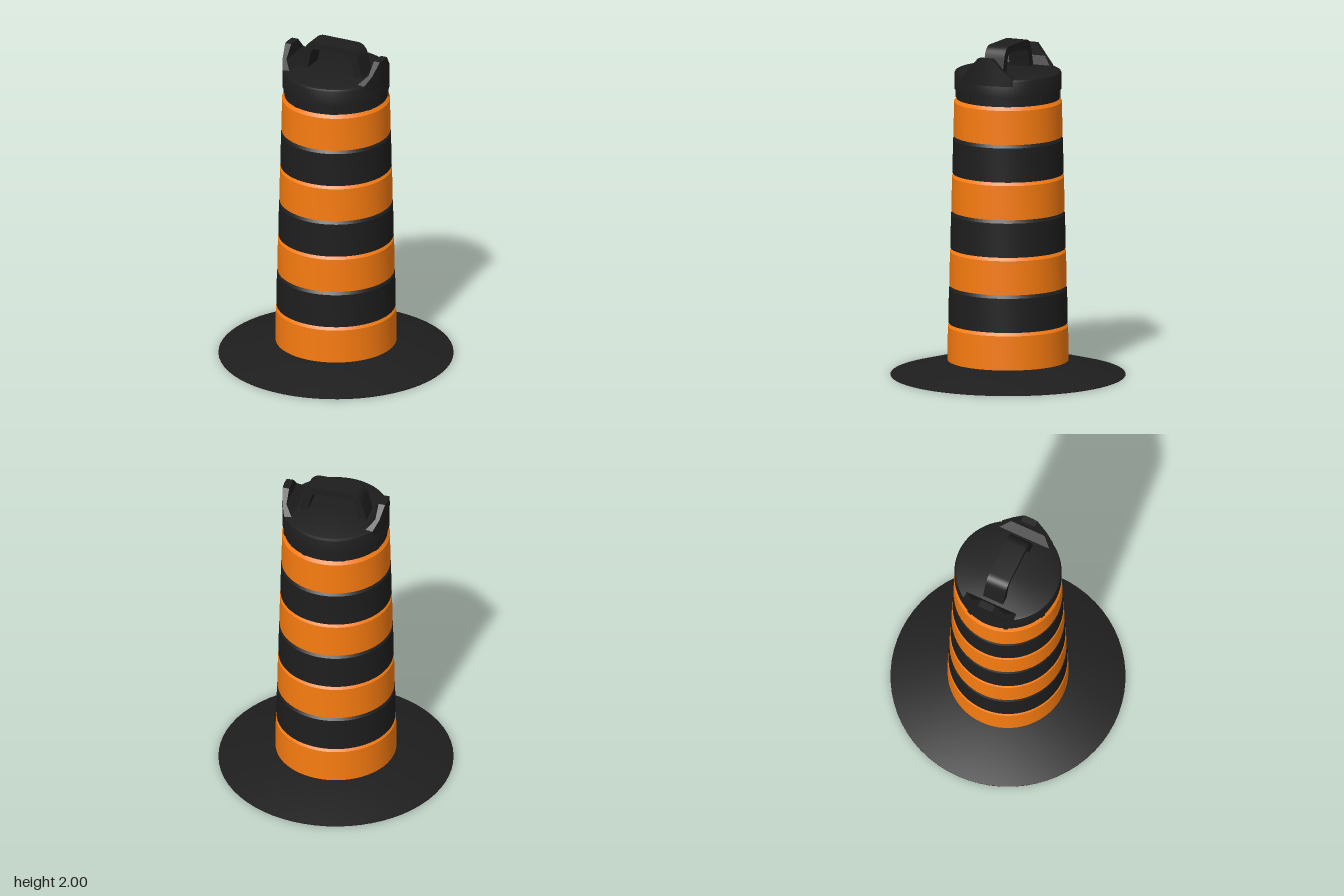
import * as THREE from 'three';
import { toCreasedNormals } from 'three/addons/utils/BufferGeometryUtils.js';

const orange = new THREE.MeshStandardMaterial({ color: 0xf97c10 });
const black = new THREE.MeshStandardMaterial({ color: 0x1e1e1e });

function add(parent, name, geometry, material) {
  const mesh = new THREE.Mesh(toCreasedNormals(geometry, 0.5), material);
  mesh.name = name;
  parent.add(mesh);
  return mesh;
}

// Profile is listed from the bottom centre outwards and up
function turned(points) {
  return new THREE.LatheGeometry(points.map(([r, y]) => new THREE.Vector2(r, y)), 64);
}

// Upright ear: outside follows the lid, inside slopes, sides taper to the top
function earGeometry() {
  const R = 0.318, arc = 10;
  const rows = [[1.79, 0.225, 0.165], [1.83, 0.225, 0.165], [1.88, 0.273, 0.11], [1.95, 0.275, 0.045]];
  const n = arc + 3, pos = [], index = [];
  for (const [y, inner, w] of rows) {
    for (let k = 0; k <= arc; k++) {
      const z = -w + (2 * w * k) / arc;
      pos.push(Math.sqrt(R * R - z * z), y, z);
    }
    pos.push(inner, y, w, inner, y, -w);
  }
  for (let j = 0; j < rows.length - 1; j++) {
    for (let k = 0; k < n; k++) {
      const a = j * n + k, b = j * n + ((k + 1) % n);
      index.push(a, a + n, b, b, a + n, b + n);
    }
  }
  const top = (rows.length - 1) * n;
  for (let k = 1; k < n - 1; k++) index.push(top, top + k + 1, top + k);
  const g = new THREE.BufferGeometry();
  g.setAttribute('position', new THREE.Float32BufferAttribute(pos, 3));
  g.setIndex(index);
  return g;
}

// Arched carrying handle, flat-sided
function handleGeometry() {
  const s = new THREE.Shape();
  s.moveTo(-0.21, 1.82);
  s.lineTo(-0.182, 1.93);
  s.bezierCurveTo(-0.17, 1.98, -0.145, 2, -0.11, 2);
  s.lineTo(0.11, 2);
  s.bezierCurveTo(0.145, 2, 0.17, 1.98, 0.182, 1.93);
  s.lineTo(0.21, 1.82);
  s.lineTo(0.157, 1.82);
  s.lineTo(0.137, 1.92);
  s.bezierCurveTo(0.13, 1.95, 0.115, 1.96, 0.095, 1.96);
  s.lineTo(-0.095, 1.96);
  s.bezierCurveTo(-0.115, 1.96, -0.13, 1.95, -0.137, 1.92);
  s.lineTo(-0.157, 1.82);
  const g = new THREE.ExtrudeGeometry(s, { depth: 0.13, bevelEnabled: false, curveSegments: 8 });
  return g.translate(0, 0, -0.065);
}

export function createModel() {
  const model = new THREE.Group();
  model.name = 'trafficDrum';

  // Weighted base
  add(model, 'base', turned([[0, 0], [0.695, 0], [0.695, 0.004], [0.37, 0.09], [0, 0.09]]), black);

  // Stacked bands, each a little narrower with a chamfered shoulder
  const step = 0.225;
  for (let i = 0; i < 7; i++) {
    const y = 0.09 + i * step, r = 0.358 - i * 0.006;
    const profile = [[0, y], [r, y], [r - 0.002, y + step - 0.02], [r - 0.017, y + step], [0, y + step]];
    add(model, 'band' + (i + 1), turned(profile), i % 2 ? black : orange);
  }

  // Lid: neck with small tabs, rim, ears and handle
  const lid = new THREE.Group();
  lid.name = 'lid';
  model.add(lid);
  add(lid, 'neck', turned([[0, 1.66], [0.305, 1.66], [0.305, 1.735], [0, 1.735]]), black);
  add(lid, 'rim', turned([[0, 1.725], [0.317, 1.725], [0.317, 1.815], [0.312, 1.827], [0.3, 1.832], [0, 1.832]]), black);
  for (let i = 0; i < 8; i++) {
    const tab = add(lid, 'neckTab', new THREE.BoxGeometry(0.03, 0.06, 0.02), black);
    const a = (i + 0.5) * Math.PI / 4;
    tab.position.set(Math.sin(a) * 0.301, 1.697, Math.cos(a) * 0.301);
    tab.rotation.y = a;
  }
  add(lid, 'leftEar', earGeometry(), black);
  add(lid, 'rightEar', earGeometry(), black).rotation.y = Math.PI;
  add(lid, 'handle', handleGeometry(), black);

  return model;
}
